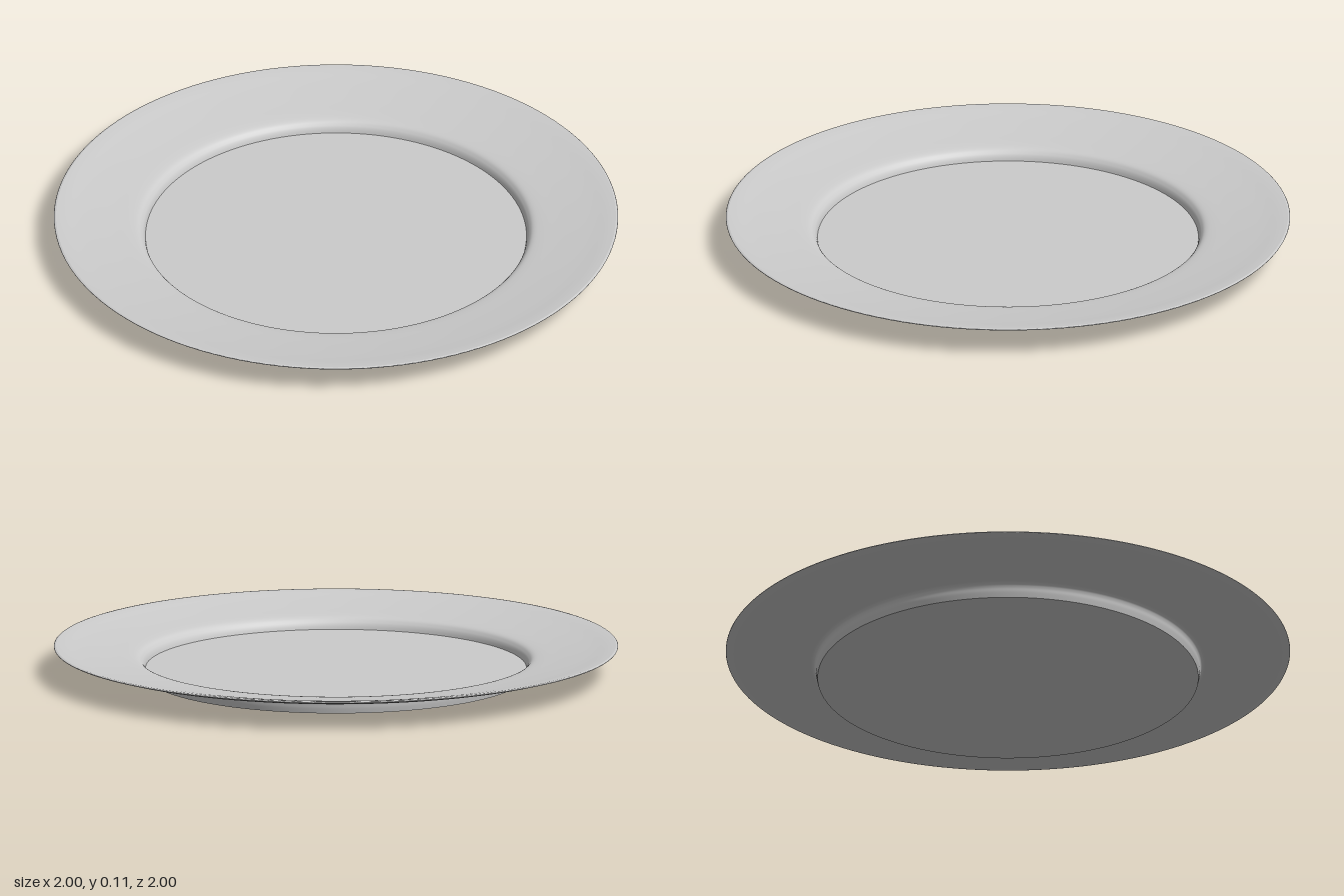
import * as THREE from 'three';

const SEGMENTS = 128;

export function createModel() {
  const plate = new THREE.Group();
  plate.name = 'plate';
  const material = new THREE.MeshStandardMaterial({ color: 0xcccccc });

  // Each profile is a list of [radius, height], revolved about y.
  const addRing = (name, profile) => {
    const points = profile.map(([r, y]) => new THREE.Vector2(r, y));
    const mesh = new THREE.Mesh(new THREE.LatheGeometry(points, SEGMENTS), material);
    mesh.name = name;
    plate.add(mesh);
  };
  const smooth = (profile, n) =>
    new THREE.SplineCurve(profile.map(([r, y]) => new THREE.Vector2(r, y)))
      .getPoints(n).map((p) => [p.x, p.y]);

  // Underside: recessed base running out to the foot ring
  addRing('base', [[0, 0.01], [0.6, 0.01], [0.63, 0.008], [0.65, 0.002], [0.66, 0], [0.675, 0]]);

  // Foot wall flaring out into the underside of the rim
  addRing('underside', smooth([
    [0.675, 0], [0.68, 0.02], [0.683, 0.037], [0.69, 0.049], [0.71, 0.056],
    [0.8, 0.067], [0.9, 0.081], [0.96, 0.092], [0.995, 0.102],
  ], 40));

  // Thin rounded lip
  addRing('lip', [[0.995, 0.102], [0.999, 0.103], [1, 0.105], [0.998, 0.107], [0.992, 0.108]]);

  // Broad rim sloping down to the wall of the well
  addRing('rim', smooth([
    [0.992, 0.108], [0.96, 0.104], [0.9, 0.094], [0.8, 0.08],
    [0.73, 0.071], [0.7, 0.064], [0.686, 0.052], [0.679, 0.04], [0.675, 0.026],
  ], 40));

  // Flat centre with a sharp edge against the wall
  addRing('well', [[0.675, 0.026], [0, 0.026]]);

  return plate;
}
